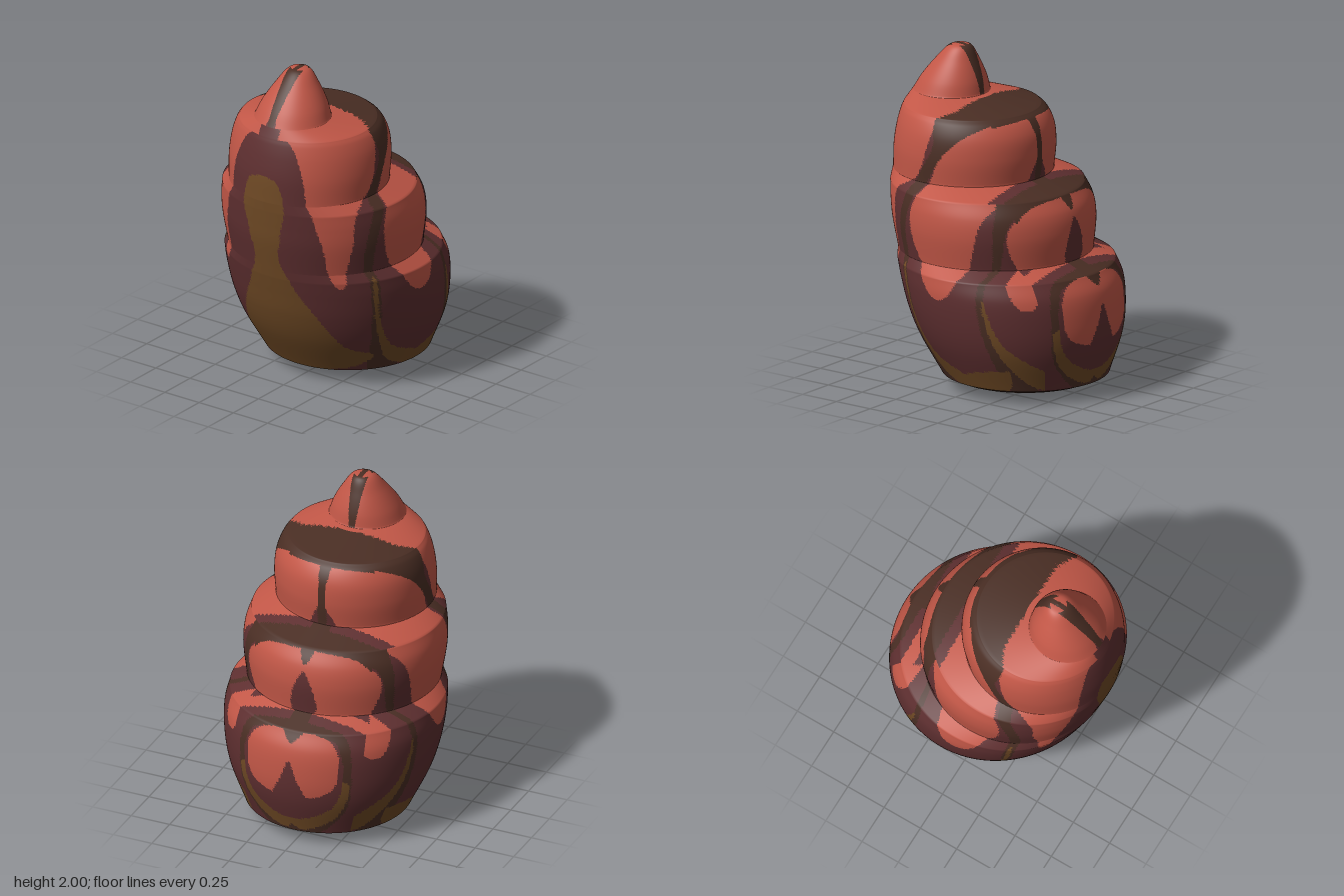
import * as THREE from 'three';

const SEGMENTS = 256;
const SALMON = 0, MAROON = 1, DARK = 2, OCHRE = 3;

// Whorls from tip to base: rings of [height, left x, right x], all round; ledges join them
const WHORLS = [
  { name: 'tip', rows: 32, pts: [[2, -0.341, -0.339], [1.985, -0.41, -0.28], [1.9, -0.495, -0.235], [1.79, -0.585, -0.195], [1.71, -0.635, -0.18]] },
  { name: 'upper', rows: 42, pts: [[1.652, -0.66, 0.15], [1.62, -0.672, 0.19], [1.54, -0.693, 0.232], [1.42, -0.713, 0.244], [1.265, -0.72, 0.228]] },
  { name: 'middle', rows: 42, pts: [[1.205, -0.716, 0.43], [1.11, -0.707, 0.487], [1, -0.695, 0.508], [0.81, -0.657, 0.496]] },
  { name: 'lower', rows: 62, pts: [[0.753, -0.645, 0.64], [0.65, -0.617, 0.694], [0.49, -0.57, 0.715], [0.33, -0.502, 0.705], [0.085, -0.355, 0.635]] },
  { name: 'base', rows: 12, pts: [[0.06, -0.3, 0.57], [0, 0.055, 0.215]] },
];
const LEDGE_ROWS = 12;

const spline = (pts, closed) => new THREE.CatmullRomCurve3(pts.map((p) => new THREE.Vector3(...p)), closed, 'centripetal');

// Rounded patch described by rows of [y, from, to]
function band(color, ...rows) {
  const near = rows.map(([y, a]) => [a, y, 0]);
  const far = rows.map(([y, , b]) => [b, y, 0]).reverse();
  const outline = spline([...near, ...far], true).getPoints(rows.length * 10);
  return { color, outline, box: new THREE.Box3().setFromPoints(outline) };
}

// Patch mirrored about the middle, described by rows of [y, half width]
const panel = (color, ...rows) => band(color, ...rows.map(([y, w]) => [y, -w, w]));

function inside({ outline, box }, x, y) {
  if (x < box.min.x || x > box.max.x || y < box.min.y || y > box.max.y) return false;
  let hit = false;
  for (let i = 0, j = outline.length - 1; i < outline.length; j = i++) {
    const a = outline[i], b = outline[j];
    if ((a.y > y) !== (b.y > y) && x < ((b.x - a.x) * (y - a.y)) / (b.y - a.y) + a.x) hit = !hit;
  }
  return hit;
}

// Front and back flanks in (x, y): salmon fields, dark stripes, then ochre edges
const flankFields = [
  band(SALMON, [1.78, -0.61, -0.12], [1.6, -0.64, -0.2], [1.3, -0.64, -0.3], [1.2, -0.63, -0.44], [1, -0.585, -0.46], [0.72, -0.5, -0.48]),
  band(SALMON, [1.63, 0.08, 0.3], [1.5, -0.1, 0.3], [1.27, -0.21, 0.3], [1.1, -0.28, 0.2], [0.93, -0.26, 0.16], [0.78, -0.18, 0.12], [0.64, -0.07, 0.03]),
  band(SALMON, [1.19, 0.42, 0.5], [1.05, 0.33, 0.56], [0.85, 0.35, 0.56], [0.72, 0.4, 0.56], [0.61, 0.48, 0.53]),
];
const flankStripes = [
  band(DARK, [1.68, -0.2, 0.2], [1.6, -0.21, 0.05], [1.5, -0.19, -0.08], [1.25, -0.32, -0.24], [1, -0.39, -0.33], [0.7, -0.355, -0.305], [0.35, -0.28, -0.22], [0.05, -0.15, 0]),
  band(DARK, [1.22, 0.25, 0.46], [1.13, 0.26, 0.35], [0.9, 0.26, 0.305], [0.7, 0.24, 0.28], [0.4, 0.285, 0.35], [0.05, 0.4, 0.5]),
  band(DARK, [0.78, 0.58, 0.66], [0.6, 0.6, 0.62], [0.3, 0.6, 0.63], [0.05, 0.58, 0.66]),
];
const flankEdges = [
  band(OCHRE, [0.78, -0.345, -0.335], [0.5, -0.305, -0.28], [0.27, -0.2, -0.14], [0.16, -0.12, 0.1], [0.09, 0.02, 0.2]),
  band(OCHRE, [0.22, 0.375, 0.39], [0.165, 0.1, 0.39], [0.09, 0.05, 0.36]),
  band(OCHRE, [0.66, 0.275, 0.28], [0.4, 0.33, 0.38], [0.2, 0.42, 0.56], [0.1, 0.5, 0.6]),
  band(OCHRE, [1.45, -0.75, -0.72], [0.95, -0.8, -0.68], [0.6, -0.8, -0.57], [0.28, -0.8, -0.36], [0.2, -0.8, -0.2], [0.1, -0.6, -0.28]),
];
const FLANK = [...flankFields, ...flankStripes, ...flankEdges];

// Stepped side in (z, y), one set for each whorl
const STEPS = {
  upper: [
    panel(DARK, [1.72, 0.5], [1.5, 0.55]),
    panel(SALMON, [1.625, 0.15], [1.6, 0.3], [1.5, 0.45], [1.25, 0.52]),
    panel(MAROON, [1.4, 0.005], [1.25, 0.08]),
    panel(DARK, [1.68, 0.03], [1.5, 0.022], [1.25, 0.02]),
  ],
  middle: [
    panel(DARK, [1.27, 0.35], [1.12, 0.45], [1, 0.47], [0.9, 0.42]),
    panel(SALMON, [1.185, 0.2], [1.14, 0.33], [1.02, 0.42], [0.92, 0.42], [0.79, 0.35]),
    panel(DARK, [1.2, 0.04], [1.12, 0.005]),
    panel(MAROON, [1.08, 0.005], [0.9, 0.08], [0.79, 0.06]),
  ],
  lower: [
    panel(DARK, [0.8, 0.15], [0.76, 0.28], [0.68, 0.345], [0.4, 0.355], [0.25, 0.31], [0.05, 0.1]),
    panel(OCHRE, [0.47, 0.34], [0.37, 0.34], [0.22, 0.27], [0.11, 0.1]),
    panel(MAROON, [0.72, 0.25], [0.62, 0.31], [0.45, 0.315], [0.3, 0.26], [0.19, 0.08]),
    panel(DARK, [0.13, 0.005], [0.05, 0.06]),
    panel(SALMON, [0.735, 0.2], [0.65, 0.285], [0.5, 0.29], [0.42, 0.26], [0.36, 0.15]),
    panel(DARK, [0.77, 0.07], [0.69, 0.005]),
    panel(MAROON, [0.58, 0.005], [0.47, 0.05], [0.34, 0.1]),
  ],
};

// Colour of a surface point; u runs from -1 on the smooth side to 1 on the stepped side
function colorAt({ name, ledge }, x, y, z, u) {
  const w = Math.abs(z);
  if (y < 0.085) return DARK;
  if (name === 'tip') {
    if (y > 1.992) return w > 0.015 ? SALMON : DARK;
    if (w < 0.02 + 0.1 * (y - 1.72) && Math.abs(u) > 0.5) return DARK;
    return u < 0 && w < 0.3 * (1.83 - y) ? MAROON : SALMON;
  }
  if (ledge && name === 'upper') {
    if (x > -0.15 - 0.5 * Math.max(0, w - 0.3)) return DARK;
    return u < 0 && w < 0.07 ? MAROON : SALMON;
  }
  if (ledge && name === 'middle' && x > -0.1) return x > 0.27 || w < 0.06 ? DARK : x > 0.2 ? MAROON : SALMON;
  if (ledge && name === 'lower' && x > 0.42) return x > 0.565 || w < 0.06 ? DARK : x > 0.5 ? MAROON : SALMON;
  const stepped = u > 0.77;
  let color = MAROON;
  for (const p of stepped ? STEPS[name] : FLANK) if (inside(p, stepped ? z : x, y)) color = p.color;
  return color;
}

// Rings down the whole profile, with a straight ledge above each whorl
function makeRings() {
  const rings = [];
  const sweep = (pts, count, first, name, ledge) => {
    const curve = spline(pts, false);
    for (let i = first; i <= count; i++) {
      const p = curve.getPoint(i / count);
      rings.push({ name, ledge, y: p.x, c: (p.y + p.z) / 2, r: (p.z - p.y) / 2 });
    }
  };
  WHORLS.forEach(({ name, rows, pts }, i) => {
    if (i > 0) sweep([WHORLS[i - 1].pts.at(-1), pts[0]], LEDGE_ROWS, 1, name, true);
    sweep(pts, rows, i > 0 ? 1 : 0, name, false);
  });
  return rings;
}

export function createModel() {
  const model = new THREE.Group();
  const material = (name, color) => new THREE.MeshStandardMaterial({ name, color, side: THREE.DoubleSide });
  const materials = [material('salmon', 0xc25747), material('maroon', 0x5e2f30), material('darkBrown', 0x4a2e24), material('ochre', 0x704a25)];

  const rings = makeRings();
  const positions = [];
  for (const { y, c, r } of rings) {
    for (let j = 0; j < SEGMENTS; j++) {
      const a = (j / SEGMENTS) * Math.PI * 2;
      positions.push(c + r * Math.cos(a), y, r * Math.sin(a));
    }
  }

  // Sort the surface into one face list per colour
  const faces = materials.map(() => []);
  for (let i = 0; i < rings.length - 1; i++) {
    const s = rings[i], t = rings[i + 1];
    const c = (s.c + t.c) / 2, r = (s.r + t.r) / 2;
    for (let j = 0; j < SEGMENTS; j++) {
      const p = i * SEGMENTS + j, q = i * SEGMENTS + ((j + 1) % SEGMENTS);
      const m = p + SEGMENTS, n = q + SEGMENTS;
      for (const tri of [[p, q, m], [q, n, m]]) {
        const [x, y, z] = [0, 1, 2].map((d) => tri.reduce((sum, v) => sum + positions[v * 3 + d], 0) / 3);
        faces[colorAt(t, x, y, z, (x - c) / r)].push(...tri);
      }
    }
  }

  const geometry = new THREE.BufferGeometry();
  geometry.setAttribute('position', new THREE.Float32BufferAttribute(positions, 3));
  geometry.setIndex(faces.flat());
  geometry.computeVertexNormals();
  let start = 0;
  faces.forEach((list, i) => {
    geometry.addGroup(start, list.length, i);
    start += list.length;
  });
  const shell = new THREE.Mesh(geometry, materials);
  shell.name = 'shell';
  model.add(shell);
  return model;
}
